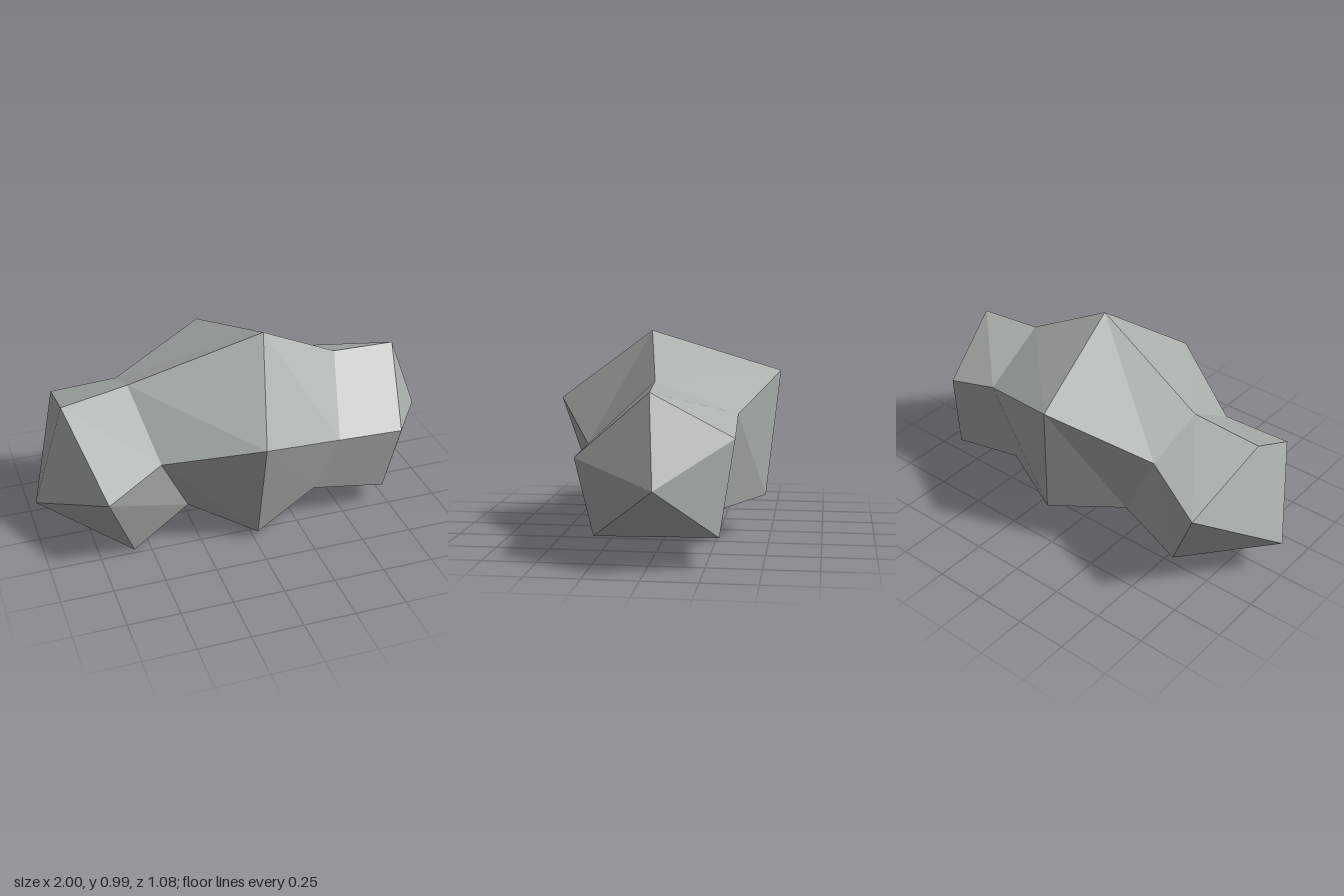
import * as THREE from 'three';

// Five-sided cross-sections from x- to x+, each: top, front, lower front, lower back, back
const rings = [
  [[-0.84, 0.705, -0.03], [-0.73, 0.42, 0.42], [-0.58, 0, 0.225], [-0.6, 0.11, -0.32], [-0.81, 0.54, -0.48]],
  [[-0.51, 0.75, -0.06], [-0.45, 0.51, 0.3], [-0.29, 0.165, 0.17], [-0.3, 0.24, -0.295], [-0.5, 0.633, -0.35]],
  [[0.125, 0.99, 0.068], [-0.02, 0.645, 0.54], [0.02, 0.035, 0.32], [0.042, 0.19, -0.475], [-0.02, 0.793, -0.54]],
  [[0.52, 0.79, 0], [0.43, 0.485, 0.325], [0.33, 0.19, 0.265], [0.433, 0.19, -0.279], [0.47, 0.64, -0.37]],
  [[0.84, 0.775, -0.02], [0.755, 0.475, 0.325], [0.71, 0.118, 0.25], [0.79, 0.145, -0.315], [0.745, 0.57, -0.378]],
];
const tips = [[-1, 0.21, -0.015], [1, 0.38, -0.053]];

// Faceted mesh from a list of corner points, three per triangle
function facets(name, corners, material) {
  const geometry = new THREE.BufferGeometry();
  geometry.setAttribute('position', new THREE.Float32BufferAttribute(corners.flat(), 3));
  geometry.computeVertexNormals();
  const mesh = new THREE.Mesh(geometry, material);
  mesh.name = name;
  return mesh;
}

export function createModel() {
  const group = new THREE.Group();
  group.name = 'rock';
  const stone = new THREE.MeshStandardMaterial({ color: 0xa9b0ac });
  stone.name = 'grey stone';

  // Long sides between neighbouring cross-sections
  const sides = [];
  for (let i = 0; i < rings.length - 1; i++) {
    for (let j = 0; j < 5; j++) {
      const k = (j + 1) % 5;
      const a = rings[i][j], b = rings[i][k], c = rings[i + 1][k], d = rings[i + 1][j];
      sides.push(a, b, c, a, c, d);
    }
  }
  group.add(facets('rockBody', sides, stone));

  // Pointed ends
  const rightEnd = [], leftEnd = [];
  for (let j = 0; j < 5; j++) {
    const k = (j + 1) % 5;
    rightEnd.push(tips[0], rings[0][k], rings[0][j]);
    leftEnd.push(tips[1], rings[4][j], rings[4][k]);
  }
  group.add(facets('rightPoint', rightEnd, stone), facets('leftPoint', leftEnd, stone));
  return group;
}
